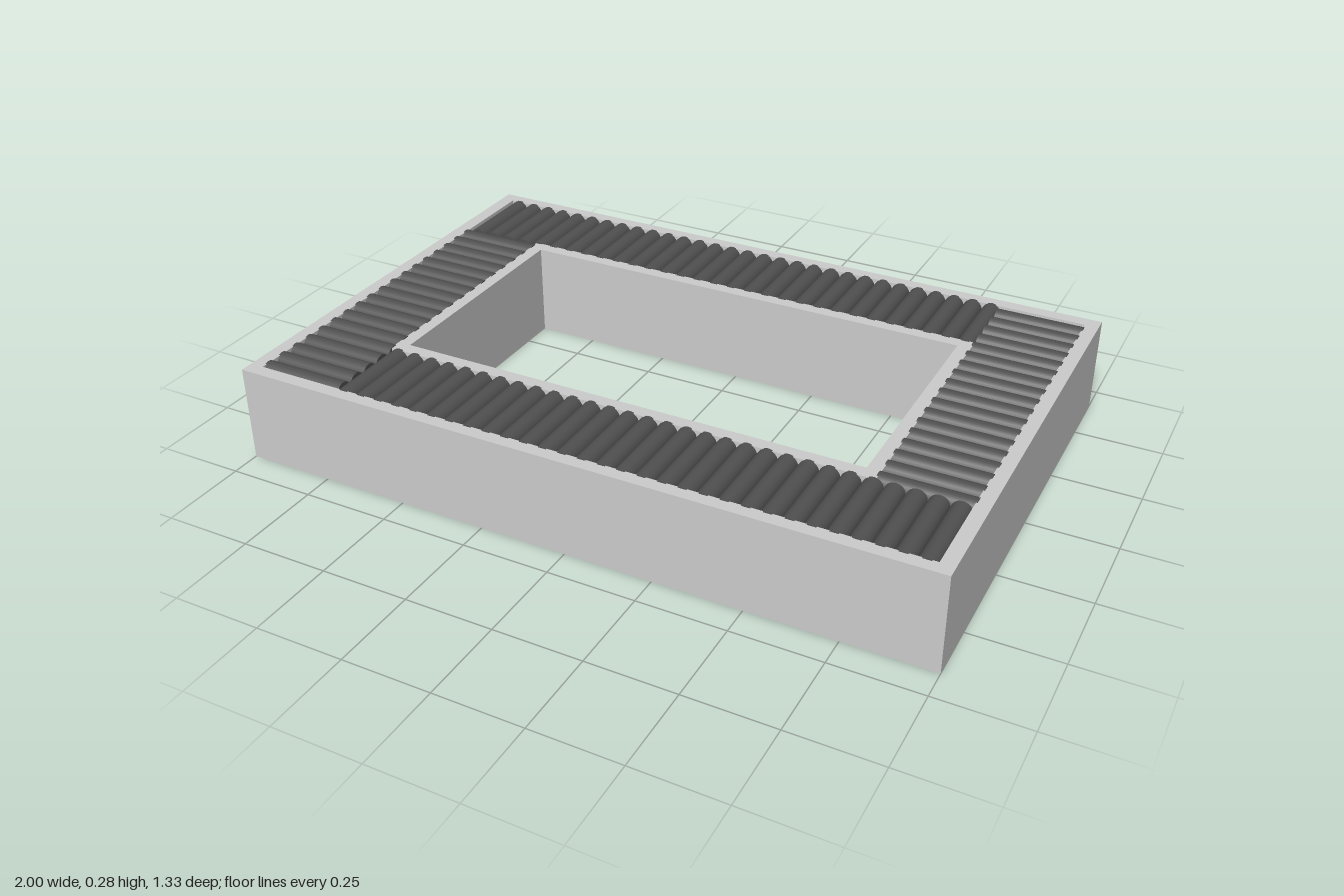
import * as THREE from 'three';
import { mergeGeometries } from 'three/addons/utils/BufferGeometryUtils.js';

const RIM_Y = 0.278, FLOOR_Y = 0.253;
const OUTER = [1, 0.665], TROUGH_OUT = [0.96, 0.627], TROUGH_IN = [0.715, 0.383], INNER = [0.677, 0.345];

function rectangle(Type, [hx, hz]) {
  return new Type([[-hx, -hz], [hx, -hz], [hx, hz], [-hx, hz]].map(p => new THREE.Vector2(...p)));
}

// Upright rectangular ring between two half sizes
function ring(outer, inner, y0, y1) {
  const shape = rectangle(THREE.Shape, outer);
  shape.holes.push(rectangle(THREE.Path, inner));
  const g = new THREE.ExtrudeGeometry(shape, { depth: y1 - y0, bevelEnabled: false });
  return g.rotateX(-Math.PI / 2).translate(0, y0, 0);
}

// Row of half-sunk round ribs filling a rectangle; ribs lie across the row
function ribRow(x0, x1, z0, z1, alongX, count) {
  const parts = [];
  const start = alongX ? x0 : z0;
  const pitch = (alongX ? x1 - x0 : z1 - z0) / count;
  const length = (alongX ? z1 - z0 : x1 - x0) + 0.008;
  for (let i = 0; i < count; i++) {
    const g = new THREE.CylinderGeometry(pitch / 2, pitch / 2, length, 24);
    const c = start + (i + 0.5) * pitch;
    if (alongX) g.rotateX(Math.PI / 2).translate(c, FLOOR_Y, (z0 + z1) / 2);
    else g.rotateZ(Math.PI / 2).translate((x0 + x1) / 2, FLOOR_Y, c);
    parts.push(g);
  }
  return mergeGeometries(parts);
}

export function createModel() {
  const model = new THREE.Group();
  model.name = 'ribbedFrame';
  const grey = new THREE.MeshStandardMaterial({ color: 0xcccccc });
  const dark = new THREE.MeshStandardMaterial({ color: 0x505050 });
  const add = (name, geometry, material) => {
    const mesh = new THREE.Mesh(geometry, material);
    mesh.name = name;
    model.add(mesh);
  };

  // Solid base and the two rims that enclose the trough
  add('base', ring(OUTER, INNER, 0, 0.24), grey);
  add('outerRim', ring(OUTER, TROUGH_OUT, 0.24, RIM_Y), grey);
  add('innerRim', ring(TROUGH_IN, INNER, 0.24, RIM_Y), grey);
  add('troughFloor', ring(TROUGH_OUT, TROUGH_IN, 0.24, FLOOR_Y), dark);

  // Four ribbed rows, laid around the opening like a pinwheel
  const [ox, oz] = TROUGH_OUT, [ix, iz] = TROUGH_IN;
  add('backRibs', ribRow(-ox, ix, -oz, -iz, true, 30), dark);
  add('frontRibs', ribRow(-ix, ox, iz, oz, true, 30), dark);
  add('leftRibs', ribRow(ix, ox, -oz, iz, false, 18), dark);
  add('rightRibs', ribRow(-ox, -ix, -iz, oz, false, 18), dark);
  return model;
}
